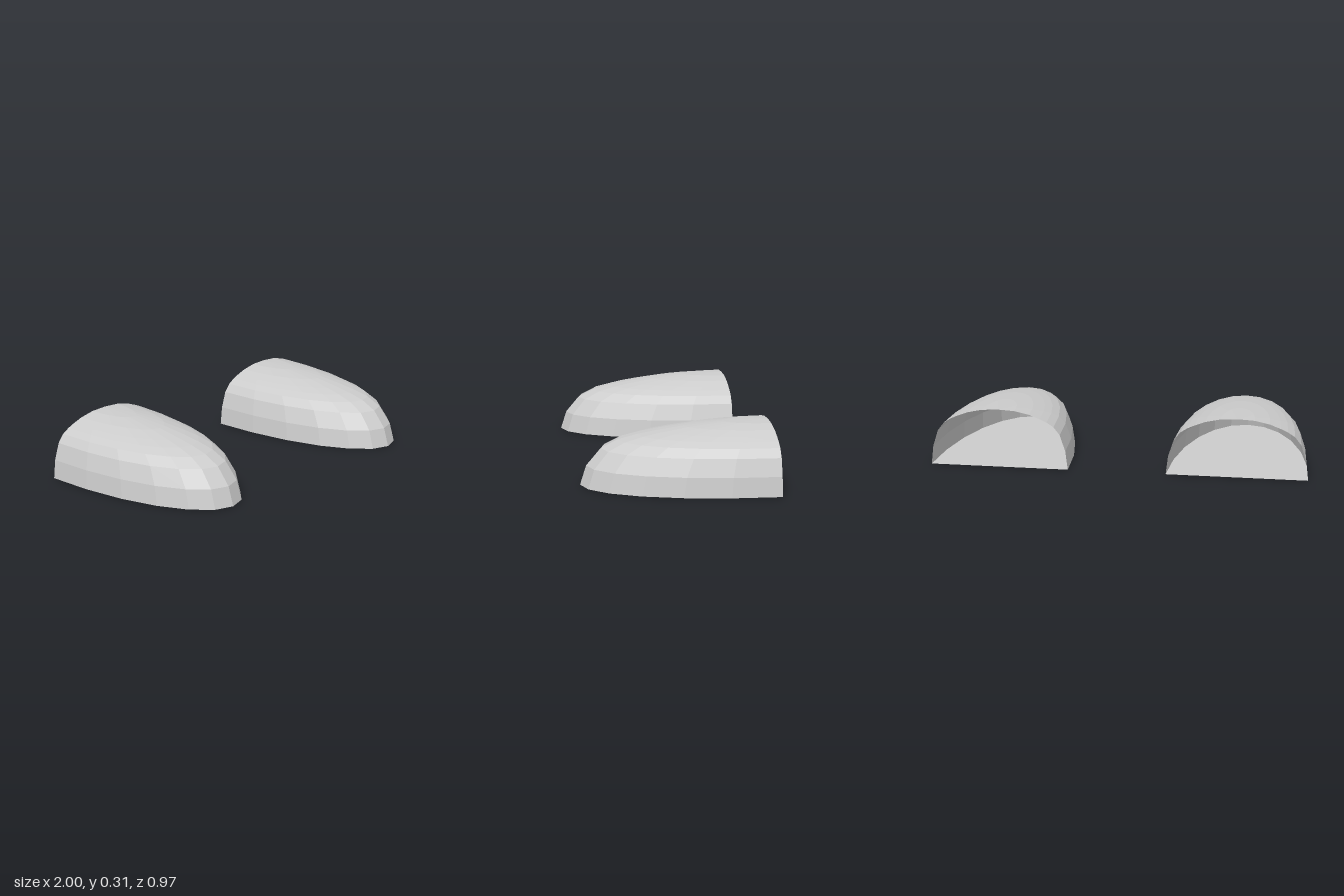
import * as THREE from 'three';

const HALF_WIDTH = 0.37, LENGTH = 0.97, SEGMENTS = 12;

// Profile of the dome: relative radius, height
const PROFILE = [
  [1, 0], [0.967, 0.1], [0.89, 0.188], [0.8, 0.231], [0.7, 0.255],
  [0.6, 0.272], [0.45, 0.293], [0.24, 0.31], [0, 0.315],
].map(([r, y]) => new THREE.Vector2(r, y));

function createCap(material) {
  const cap = new THREE.Group();

  // Half dome, open at the back, stretched forward into an ellipse
  const shellGeometry = new THREE.LatheGeometry(PROFILE, SEGMENTS, -Math.PI / 2, Math.PI);
  shellGeometry.scale(HALF_WIDTH, 1, LENGTH);
  const shell = new THREE.Mesh(shellGeometry, material);
  shell.name = 'shell';

  // Flat half-ellipse floor
  const floorGeometry = new THREE.CircleGeometry(1, SEGMENTS, 0, Math.PI);
  floorGeometry.rotateX(Math.PI / 2);
  floorGeometry.scale(HALF_WIDTH, 1, LENGTH);
  const floor = new THREE.Mesh(floorGeometry, material);
  floor.name = 'floor';

  cap.add(shell, floor);
  return cap;
}

export function createModel() {
  const model = new THREE.Group();
  model.name = 'toeCaps';
  const material = new THREE.MeshStandardMaterial({
    color: 0xcccccc, flatShading: true, side: THREE.DoubleSide,
  });

  // Matching pair, one on each side
  for (const side of [1, -1]) {
    const cap = createCap(material);
    cap.name = side > 0 ? 'leftToeCap' : 'rightToeCap';
    cap.position.set(side * (1 - HALF_WIDTH), 0, -LENGTH / 2);
    model.add(cap);
  }
  return model;
}
